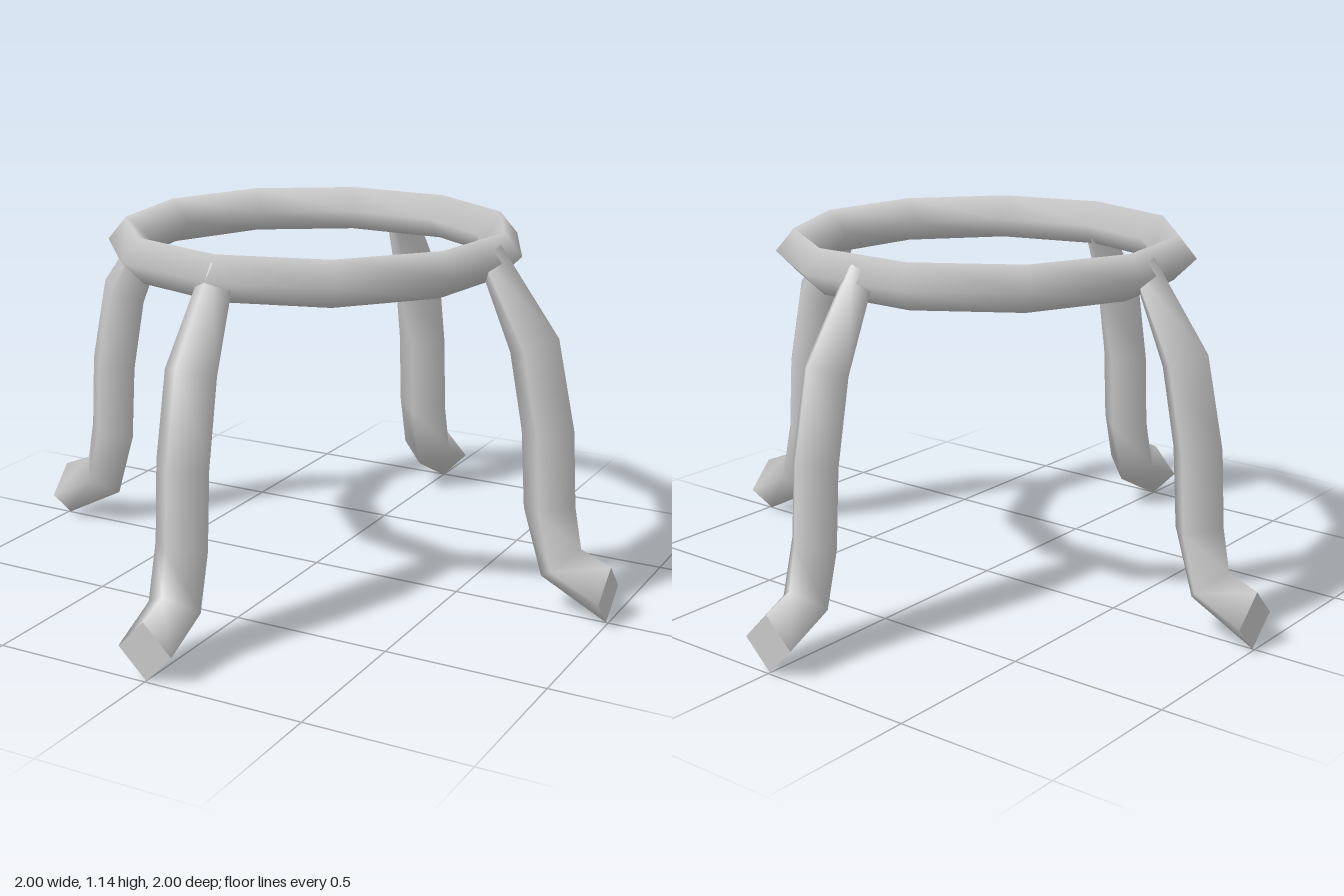
import * as THREE from 'three';
import { mergeVertices } from 'three/addons/utils/BufferGeometryUtils.js';

const material = new THREE.MeshStandardMaterial({ color: 0xcccccc });

// Eleven-sided ring with a diamond section, one corner at the front
function ringGeometry() {
  const profile = [[0.652, 1.07], [0.595, 1.14], [0.52, 1.07], [0.582, 1.0], [0.652, 1.07]]
    .map(([r, y]) => new THREE.Vector2(r, y));
  const lathe = new THREE.LatheGeometry(profile, 11);
  lathe.deleteAttribute('uv');
  lathe.deleteAttribute('normal');
  const geometry = mergeVertices(lathe, 1e-4);
  geometry.computeVertexNormals();
  return geometry;
}

// Leg cross-sections from top to foot: outer z, outer y, inner z, inner y, half width
const legSections = [
  [0.615, 1.12, 0.55, 1.05, 0.055],
  [0.807, 0.86, 0.655, 0.8, 0.086],
  [0.866, 0.585, 0.7, 0.565, 0.088],
  [0.88, 0.35, 0.716, 0.32, 0.088],
  [0.904, 0.22, 0.78, 0.11, 0.088],
  [1.0, 0.18, 0.993, 0.0, 0.088],
];

// Diamond-section leg with smooth sides and flat ends, reaching toward +z
function legGeometry() {
  const positions = [];
  const index = [];
  const addSection = ([oz, oy, iz, iy, w]) => {
    const z = (oz + iz) / 2, y = (oy + iy) / 2;
    positions.push(0, oy, oz, w, y, z, 0, iy, iz, -w, y, z);
  };
  legSections.forEach(addSection);
  for (let i = 0; i < legSections.length - 1; i++) {
    for (let j = 0; j < 4; j++) {
      const a = i * 4 + j, b = i * 4 + (j + 1) % 4;
      index.push(a, a + 4, b + 4, a, b + 4, b);
    }
  }
  // End caps have their own corners so that they stay flat
  const cap = legSections.length * 4;
  addSection(legSections[0]);
  addSection(legSections[legSections.length - 1]);
  index.push(cap, cap + 1, cap + 2, cap, cap + 2, cap + 3);
  index.push(cap + 4, cap + 7, cap + 6, cap + 4, cap + 6, cap + 5);

  const geometry = new THREE.BufferGeometry();
  geometry.setAttribute('position', new THREE.Float32BufferAttribute(positions, 3));
  geometry.setIndex(index);
  geometry.computeVertexNormals();
  return geometry;
}

export function createModel() {
  const group = new THREE.Group();
  group.name = 'ringStand';

  const ring = new THREE.Mesh(ringGeometry(), material);
  ring.name = 'ring';
  group.add(ring);

  // Four legs, a quarter turn apart
  const leg = legGeometry();
  ['frontLeg', 'leftLeg', 'backLeg', 'rightLeg'].forEach((name, i) => {
    const mesh = new THREE.Mesh(leg, material);
    mesh.name = name;
    mesh.rotation.y = i * Math.PI / 2;
    group.add(mesh);
  });
  return group;
}
